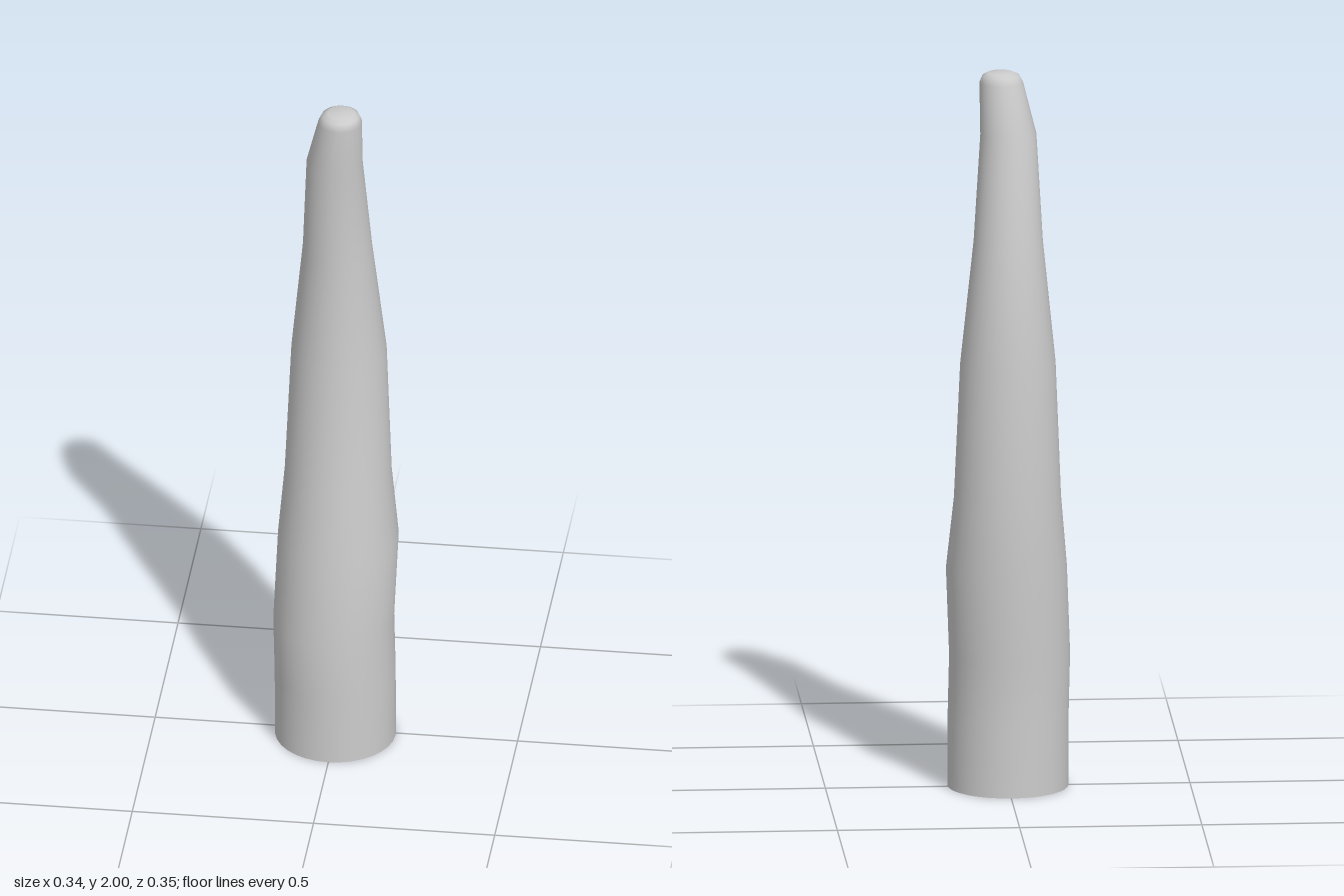
import * as THREE from 'three';

const SIDES = 32;

// Cross-sections from base to tip: height, centre x, centre z, radius
const RINGS = [
  [0, -0.001, 0.01, 0.166],
  [0.2, -0.002, 0.01, 0.166],
  [0.37, -0.006, 0.01, 0.166],
  [0.62, 0.004, -0.01, 0.166],
  [0.82, 0.002, -0.023, 0.147],
  [1.2, 0.002, -0.04, 0.131],
  [1.54, 0, -0.024, 0.095],
  [1.83, -0.003, 0.016, 0.077],
  [1.97, 0.015, 0.037, 0.06],
  [1.99, 0.016, 0.036, 0.051],
  [1.998, 0.017, 0.035, 0.036],
  [2, 0.017, 0.035, 0],
];

// Skin the rings into one smooth, closed-tip surface
function loft(rings) {
  const geometry = new THREE.CylinderGeometry(1, 1, 1, SIDES, rings.length - 1, true);
  const pos = geometry.attributes.position;
  const row = SIDES + 1;
  for (let i = 0; i < pos.count; i++) {
    const [y, cx, cz, r] = rings[rings.length - 1 - Math.floor(i / row)];
    const a = ((i % row) / SIDES) * Math.PI * 2;
    pos.setXYZ(i, cx + r * Math.sin(a), y, cz + r * Math.cos(a));
  }
  geometry.computeVertexNormals();
  // Match the normals along the seam and point the tip straight up
  const n = geometry.attributes.normal;
  const v = new THREE.Vector3();
  const w = new THREE.Vector3();
  for (let k = 0; k < rings.length; k++) {
    const a = k * row;
    const b = a + SIDES;
    v.fromBufferAttribute(n, a).add(w.fromBufferAttribute(n, b)).normalize();
    n.setXYZ(a, v.x, v.y, v.z);
    n.setXYZ(b, v.x, v.y, v.z);
  }
  for (let i = 0; i < row; i++) n.setXYZ(i, 0, 1, 0);
  return geometry;
}

export function createModel() {
  const group = new THREE.Group();
  group.name = 'taperedHorn';
  const material = new THREE.MeshStandardMaterial({ color: 0xcccccc });

  // Bent, tapering body with a rounded tip
  const body = new THREE.Mesh(loft(RINGS), material);
  body.name = 'body';
  group.add(body);

  // Flat underside
  const [y, cx, cz, r] = RINGS[0];
  const base = new THREE.Mesh(new THREE.CircleGeometry(r, SIDES), material);
  base.name = 'base';
  base.rotation.x = Math.PI / 2;
  base.position.set(cx, y, cz);
  group.add(base);

  return group;
}
